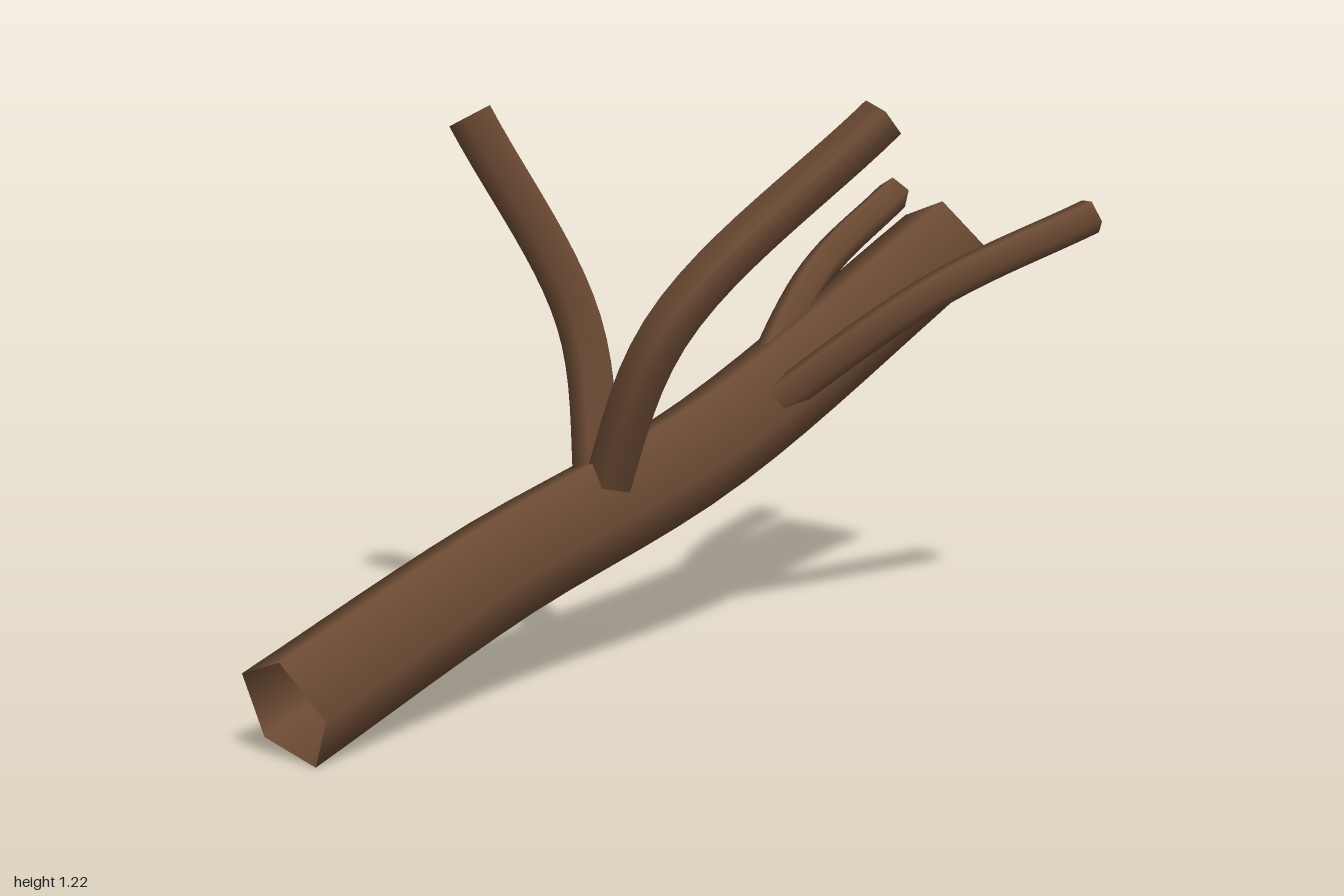
import * as THREE from 'three';

export function createModel() {
  const model = new THREE.Group();
  const bark = new THREE.MeshStandardMaterial({ color: 0x6b4a33, side: THREE.DoubleSide });
  bark.name = 'bark brown';

  // Open five-sided limb swept along a smooth curve
  function limb(name, radius, points) {
    const curve = new THREE.CatmullRomCurve3(points.map(p => new THREE.Vector3(...p)));
    const mesh = new THREE.Mesh(new THREE.TubeGeometry(curve, 20, radius, 5, false), bark);
    mesh.name = name;
    model.add(mesh);
  }

  // Main log, rising towards +x
  limb('log', 0.12, [[-0.95, 0.12, 0.11], [-0.4, 0.3, 0], [0.2, 0.485, -0.065], [0.96, 0.855, -0.15]]);

  // Two upright branches near the middle
  limb('frontUprightBranch', 0.053, [[-0.13, 0.38, -0.02], [-0.08, 0.78, 0.155], [0.375, 1.19, 0.28]]);
  limb('backUprightBranch', 0.053, [[-0.13, 0.38, -0.02], [-0.09, 0.76, -0.145], [-0.265, 1.195, -0.29]]);

  // Two thinner side branches near the upper end
  limb('frontSideBranch', 0.042, [[0.26, 0.49, -0.07], [0.6, 0.8, 0.19], [0.955, 0.96, 0.325]]);
  limb('backSideBranch', 0.042, [[0.28, 0.52, -0.06], [0.6, 0.8, -0.2], [0.955, 0.96, -0.325]]);

  return model;
}
